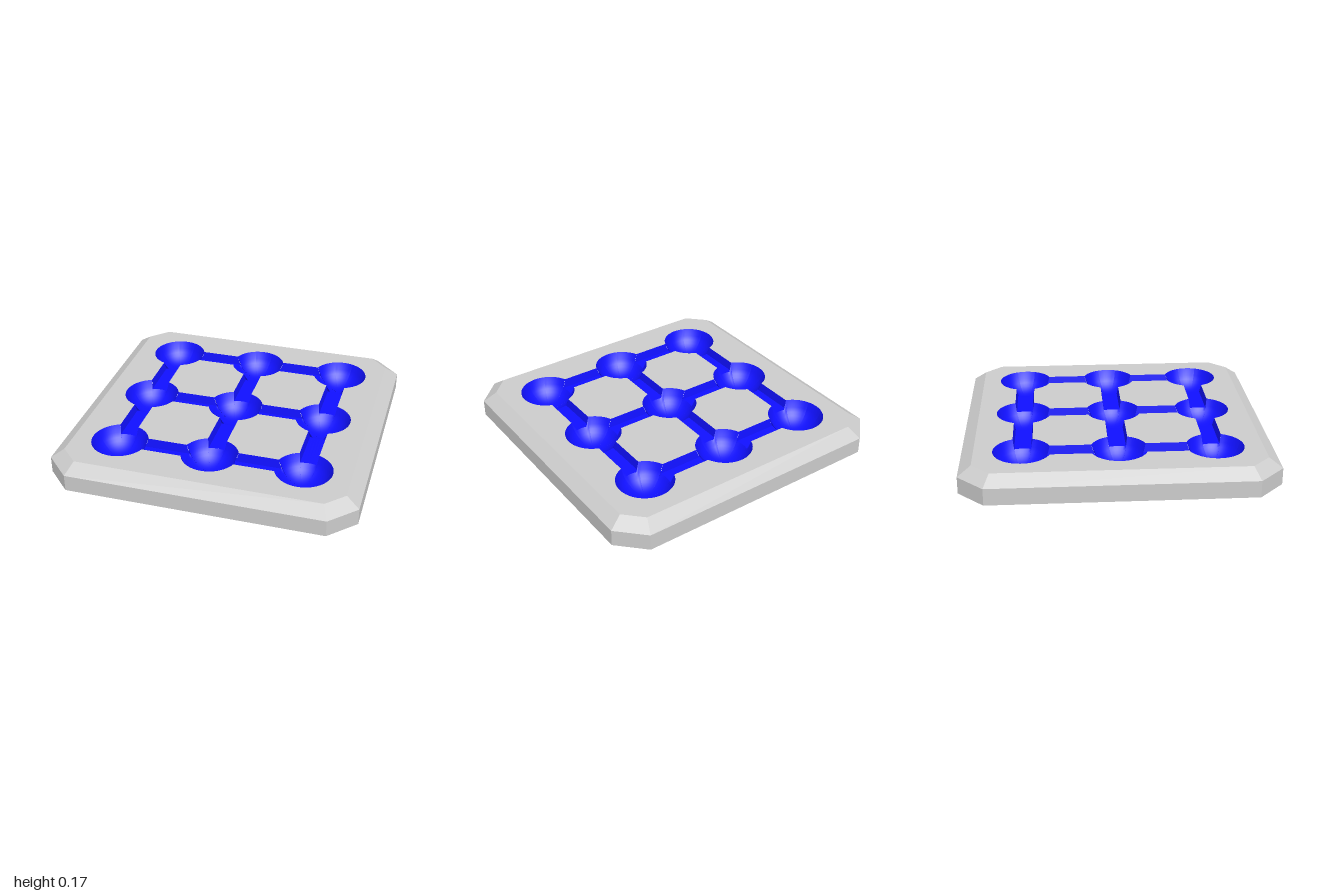
import * as THREE from 'three';

const TOP = 0.17, FLOOR = 0.11;          // plate height, channel floor height
const PITCH = 0.61, R = 0.185;           // bowl spacing and rim radius
const DEPTH = 0.148;                     // bowl depth
const W_TOP = 0.064, W_FLOOR = 0.055;    // channel half widths
const SPHERE = (R * R + DEPTH * DEPTH) / (2 * DEPTH);
const CENTRE_Y = TOP - DEPTH + SPHERE;
const HALF_PI = Math.PI / 2;

// Bowl radius at a height, bowl height at a radius, channel half width at a height
const bowlRadius = (y) => Math.sqrt(SPHERE ** 2 - (CENTRE_Y - y) ** 2);
const bowlY = (r) => CENTRE_Y - Math.sqrt(SPHERE ** 2 - r * r);
const halfWidth = (y) => THREE.MathUtils.mapLinear(y, FLOOR, TOP, W_FLOOR, W_TOP);

const R_FLOOR = bowlRadius(FLOOR);
const A_TOP = Math.asin(W_TOP / R), A_FLOOR = Math.asin(W_FLOOR / R_FLOOR);

const grey = new THREE.MeshStandardMaterial({ color: 0xcccccc, flatShading: true, side: THREE.DoubleSide });
const blue = new THREE.MeshStandardMaterial({ color: 0x1010ff, side: THREE.DoubleSide });
const blueFlat = new THREE.MeshStandardMaterial({ color: 0x1010ff, flatShading: true, side: THREE.DoubleSide });

function mesh(name, geometry, material) {
  const m = new THREE.Mesh(geometry, material);
  m.name = name;
  return m;
}

// Skin between equal-length rows of points
function loft(rows) {
  const n = rows[0].length, index = [];
  for (let i = 0; i < rows.length - 1; i++) {
    for (let j = 0; j < n - 1; j++) {
      const a = i * n + j, b = a + n;
      index.push(a, b, a + 1, a + 1, b, b + 1);
    }
  }
  const g = new THREE.BufferGeometry();
  g.setAttribute('position', new THREE.Float32BufferAttribute(rows.flat(2), 3));
  g.setIndex(index);
  g.computeVertexNormals();
  return g;
}

// Square with cut corners, anticlockwise
function octagon(half, flat) {
  return [[half, -flat], [half, flat], [flat, half], [-flat, half],
    [-half, flat], [-half, -flat], [-flat, -half], [flat, -half]];
}

// Vertical sides and sloped rim of the hollow plate
function rimGeometry() {
  const ring = (half, flat, y) => {
    const p = octagon(half, flat);
    return [...p, p[0]].map(([x, q]) => [x, y, -q]);
  };
  return loft([ring(0.915, 0.8, TOP), ring(1, 0.835, 0.11), ring(1, 0.835, 0)]);
}

// Flat top: outer sheet cut by the outline of bowls and channels, plus four islands
function topGeometry() {
  const sheet = new THREE.Shape(octagon(0.915, 0.8).map(([x, y]) => new THREE.Vector2(x, y)));
  const outline = new THREE.Path();
  const ring = [[-1, -1], [0, -1], [1, -1], [1, 0], [1, 1], [0, 1], [-1, 1], [-1, 0]];
  ring.forEach(([x, y], i) => {
    const prev = ring[(i + 7) % 8], next = ring[(i + 1) % 8];
    const start = Math.atan2(prev[1] - y, prev[0] - x) + A_TOP;
    const end = Math.atan2(next[1] - y, next[0] - x) - A_TOP;
    outline.absarc(x * PITCH, y * PITCH, R, start, end < start ? end + 2 * Math.PI : end, false);
  });
  outline.closePath();
  sheet.holes.push(outline);

  const shapes = [sheet];
  for (const cx of [-1, 0]) {
    for (const cy of [-1, 0]) {
      const island = new THREE.Shape();
      [[0, 0], [1, 0], [1, 1], [0, 1]].forEach(([i, j], k) => {
        island.absarc((cx + i) * PITCH, (cy + j) * PITCH, R,
          (k + 1) * HALF_PI - A_TOP, k * HALF_PI + A_TOP, true);
      });
      island.closePath();
      shapes.push(island);
    }
  }
  return new THREE.ShapeGeometry(shapes, 16).rotateX(-HALF_PI).translate(0, TOP, 0);
}

// Radius at which the bowl stops, at an angle from a channel's axis
function openRadius(angle) {
  const s = Math.sin(Math.abs(angle));
  if (R_FLOOR * s <= W_FLOOR) return R_FLOOR;
  if (R * s >= W_TOP) return R;
  let lo = R_FLOOR, hi = R;
  for (let i = 0; i < 30; i++) {
    const mid = (lo + hi) / 2;
    if (mid * s < halfWidth(bowlY(mid))) hi = mid; else lo = mid;
  }
  return lo;
}

// Spherical bowl, notched where channels enter
function bowlGeometry(gx, gy) {
  const angles = [];
  const span = (a, b, n) => { for (let i = 0; i < n; i++) angles.push(a + (b - a) * i / n); };
  for (let k = 0; k < 4; k++) {
    const c = k * HALF_PI;
    span(c - A_TOP, c - A_FLOOR, 3);
    span(c - A_FLOOR, c + A_FLOOR, 6);
    span(c + A_FLOOR, c + A_TOP, 3);
    span(c + A_TOP, c + HALF_PI - A_TOP, 8);
  }
  angles.push(angles[0] + 2 * Math.PI);
  const limits = angles.map((a) => {
    const k = Math.round(a / HALF_PI);
    const nx = gx + Math.round(Math.cos(k * HALF_PI));
    const ny = gy + Math.round(Math.sin(k * HALF_PI));
    const open = Math.abs(nx) <= 1 && Math.abs(ny) <= 1;
    return open ? openRadius(a - k * HALF_PI) : R;
  });
  const rows = [];
  for (let i = 0; i <= 10; i++) {
    rows.push(angles.map((a, j) => {
      const r = limits[j] * Math.max(i / 10, 1e-4);
      return [r * Math.cos(a), bowlY(r), -r * Math.sin(a)];
    }));
  }
  return loft(rows);
}

// Trough along x whose ends follow the bowls
function channelGeometry() {
  const section = [];
  for (let i = 0; i <= 4; i++) {
    const y = TOP + (FLOOR - TOP) * i / 4;
    section.push([-halfWidth(y), y]);
  }
  for (let i = 1; i < 6; i++) section.push([W_FLOOR * (i / 3 - 1), FLOOR]);
  for (let i = 0; i <= 4; i++) {
    const y = FLOOR + (TOP - FLOOR) * i / 4;
    section.push([halfWidth(y), y]);
  }
  return loft(section.map(([z, y]) => {
    const end = PITCH / 2 - Math.sqrt(bowlRadius(y) ** 2 - z * z);
    return [[-end, y, z], [end, y, z]];
  }));
}

export function createModel() {
  const model = new THREE.Group();
  model.name = 'gridTray';
  model.add(mesh('rim', rimGeometry(), grey), mesh('topPlate', topGeometry(), grey));

  const bowls = new THREE.Group();
  bowls.name = 'bowls';
  const channels = new THREE.Group();
  channels.name = 'channels';
  const trough = channelGeometry();

  for (let i = -1; i <= 1; i++) {
    for (let j = -1; j <= 1; j++) {
      const bowl = mesh('bowl', bowlGeometry(i, j), blue);
      bowl.position.set(i * PITCH, 0, -j * PITCH);
      bowls.add(bowl);
    }
    for (const half of [-0.5, 0.5]) {
      const across = mesh('crossChannel', trough, blueFlat);
      across.position.set(half * PITCH, 0, i * PITCH);
      const along = mesh('lengthChannel', trough, blueFlat);
      along.position.set(i * PITCH, 0, half * PITCH);
      along.rotation.y = HALF_PI;
      channels.add(across, along);
    }
  }
  model.add(bowls, channels);
  return model;
}
